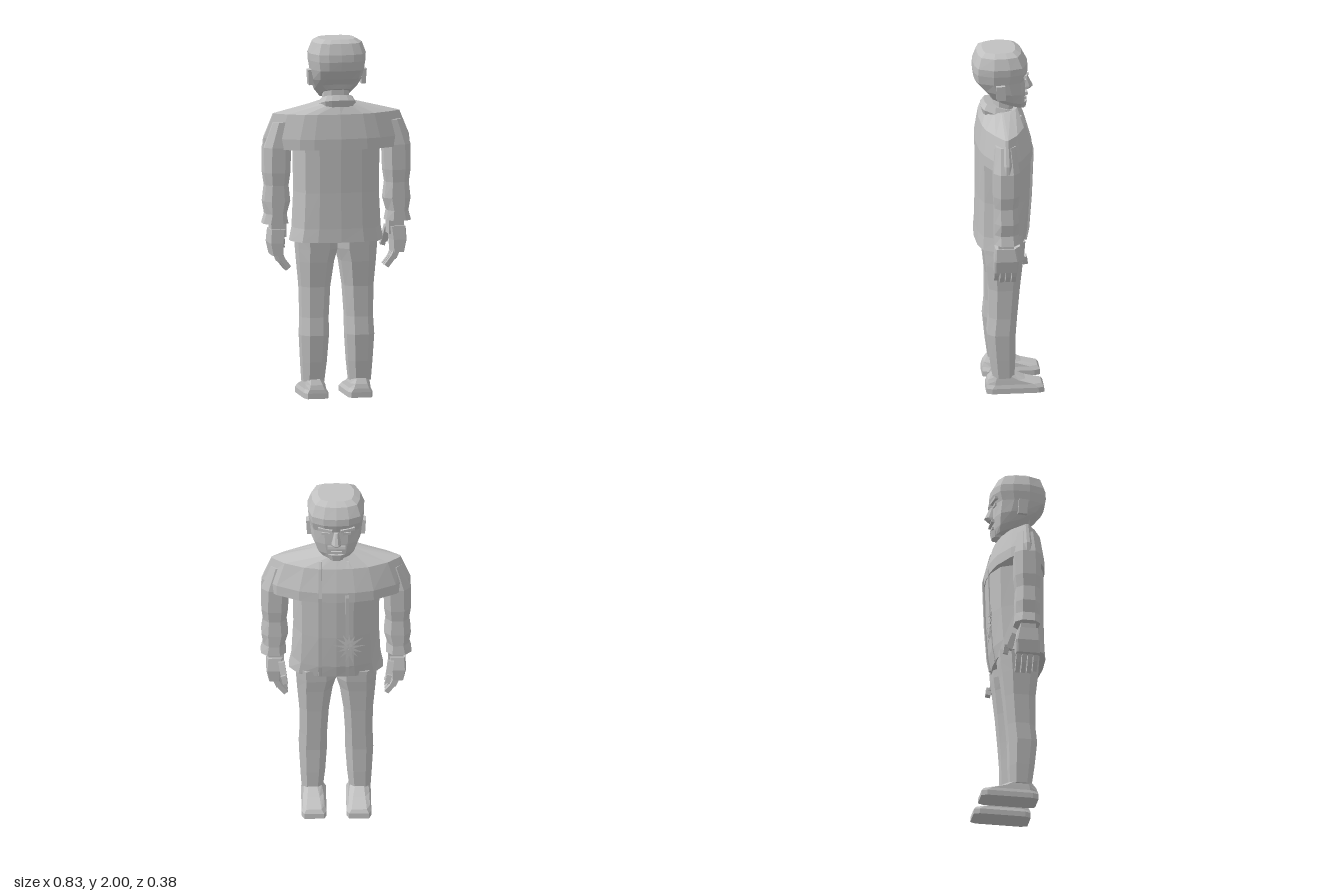
import * as THREE from 'three';

const grey = new THREE.MeshStandardMaterial({ color: 0xc0c0c0, flatShading: true });
grey.name = 'plain grey';

function add(parent, name, geometry, x = 0, y = 0, z = 0, rx = 0, ry = 0, rz = 0) {
  const mesh = new THREE.Mesh(geometry, grey);
  mesh.name = name;
  mesh.position.set(x, y, z);
  mesh.rotation.set(rx, ry, rz);
  parent.add(mesh);
  return mesh;
}
const box = (w, h, d) => new THREE.BoxGeometry(w, h, d);

// Skin a stack of rings, listed from bottom to top, and close both ends
function loft(rings) {
  const n = rings[0].length, pos = [], index = [];
  rings.forEach(r => r.forEach(p => pos.push(...p)));
  for (let i = 0; i < rings.length - 1; i++) {
    for (let j = 0; j < n; j++) {
      const a = i * n + j, b = i * n + (j + 1) % n;
      index.push(a, a + n, b, b, a + n, b + n);
    }
  }
  [0, rings.length - 1].forEach((k, top) => {
    const c = pos.length / 3;
    for (let d = 0; d < 3; d++) pos.push(rings[k].reduce((s, p) => s + p[d], 0) / n);
    for (let j = 0; j < n; j++) {
      const a = k * n + j, b = k * n + (j + 1) % n;
      if (top) index.push(c, b, a); else index.push(c, a, b);
    }
  });
  const g = new THREE.BufferGeometry();
  g.setAttribute('position', new THREE.Float32BufferAttribute(pos, 3));
  g.setIndex(index);
  const flat = g.toNonIndexed();
  flat.computeVertexNormals();
  return flat;
}

// Eight-sided limb section between x0..x1 and z0..z1, cut at the corners
function limb(y, x0, x1, z0, z1, cut = 0.5) {
  const cx = (x0 + x1) / 2, cz = (z0 + z1) / 2, w = (x1 - x0) / 2, d = (z1 - z0) / 2;
  return [[1, -cut], [1, cut], [cut, 1], [-cut, 1], [-1, cut], [-1, -cut], [-cut, -1], [cut, -1]]
    .map(([a, b]) => [cx + a * w, y, cz + b * d]);
}

// Symmetric section from a half profile of (width, depth) fractions, depth 1 to -1
function section(profile, y, w, zPlus, zMinus, mid, slope = 0) {
  const right = profile.map(([a, t]) => {
    const z = mid + t * (t > 0 ? zPlus - mid : mid - zMinus);
    return [a * w, y + slope * (z - mid), z];
  });
  const left = right.slice(1, -1).map(([x, yy, z]) => [-x, yy, z]);
  return [...right.reverse(), ...left];
}

const shoulderHalf = [[0, 1], [0.36, 0.93], [0.55, 0.8], [0.8, 0.45], [1, 0.06], [1, -0.06],
  [0.8, -0.5], [0.5, -0.85], [0.25, -0.97], [0, -1]];
const bodyHalf = [[0, 1], [0.5, 0.95], [0.82, 0.78], [1, 0.2], [1, -0.2], [0.8, -0.72], [0.4, -0.95], [0, -1]];
const headHalf = [[0, 1], [0.45, 0.97], [0.78, 0.85], [1, 0.3], [0.98, -0.3], [0.85, -0.75], [0.45, -0.95], [0, -1]];

function addJacket(g) {
  add(g, 'jacketBody', loft([
    [0.875, 0.26, 0.18, -0.1], [0.95, 0.245, 0.175, -0.115], [1.15, 0.235, 0.17, -0.13], [1.43, 0.24, 0.172, -0.138],
  ].map(([y, w, a, b]) => section(bodyHalf, y, w, a, b, 0.03))));
  add(g, 'jacketShoulders', loft([
    [1.39, 0.412, 0.175, -0.14], [1.45, 0.41, 0.175, -0.138],
    [1.585, 0.355, 0.155, -0.1], [1.645, 0.11, 0.125, -0.06],
  ].map(([y, w, a, b]) => section(shoulderHalf, y, w, a, b, 0.03))));
  // Tilted collar
  add(g, 'collar', loft([
    [1.595, 0.095], [1.63, 0.105], [1.665, 0.085],
  ].map(([y, w]) => section(headHalf, y, w, 0.04 + w, 0.04 - w, 0.04, 0.3))));
  // Open front edges follow the chest
  for (const [name, x, inset] of [['frontEdgeLeft', 0.09, 0], ['frontEdgeRight', -0.06, 0.003]]) {
    add(g, name, loft([[0.88, -0.1], [0.95, -0.114], [1.15, -0.129], [1.42, -0.139], [1.585, -0.097], [1.62, -0.072]]
      .map(([y, z]) => limb(y, x - 0.01, x + 0.01, z + inset - 0.004, z + 0.03, 0.9))));
  }
  // Ragged fan of torn cloth on the chest
  const fan = new THREE.Group();
  fan.name = 'tornCloth';
  fan.position.set(-0.07, 1.09, -0.131);
  for (let i = 0; i < 13; i++) {
    const a = i / 13 * Math.PI * 2, len = 0.075 + 0.03 * (i * 5 % 4) / 3;
    const shard = add(fan, 'clothShard', new THREE.ConeGeometry(0.017, len, 3),
      Math.sin(a) * len * 0.42, Math.cos(a) * len * 0.6, 0, 0, 0, -a);
    shard.scale.z = 0.5;
  }
  g.add(fan);
}

function addHead(g) {
  add(g, 'neck', loft([limb(1.58, -0.07, 0.07, -0.035, 0.08), limb(1.76, -0.07, 0.07, -0.035, 0.07)]));
  add(g, 'head', loft([
    [1.685, 0.085, 0.095, -0.095, 0.36], [1.715, 0.115, 0.105, -0.1, 0.3], [1.765, 0.138, 0.14, -0.105, 0.12],
    [1.83, 0.147, 0.182, -0.103, 0], [1.88, 0.155, 0.19, -0.118, 0], [1.92, 0.157, 0.187, -0.115, 0],
    [1.98, 0.135, 0.165, -0.083, 0], [2.0, 0.1, 0.135, -0.05, 0],
  ].map(([y, w, a, b, s]) => section(headHalf, y, w, a, b, (a + b) / 2, s))));
  add(g, 'nose', loft([[1.75, 0.026, -0.128], [1.765, 0.026, -0.146], [1.83, 0.012, -0.116]]
    .map(([y, w, z]) => limb(y, -w, w, z, -0.08, 0.4))));
  add(g, 'moustache', box(0.1, 0.018, 0.025), 0, 1.735, -0.103, 0.2);
  add(g, 'lowerLip', box(0.06, 0.014, 0.02), 0, 1.7, -0.1);
  add(g, 'chinBeard', loft([limb(1.645, -0.035, 0.035, -0.105, -0.06), limb(1.685, -0.05, 0.05, -0.112, -0.05)]));
  for (const s of [-1, 1]) {
    add(g, s > 0 ? 'leftBrow' : 'rightBrow', box(0.08, 0.016, 0.02), s * 0.062, 1.85, -0.103, 0, s * -0.2, s * 0.12);
    add(g, s > 0 ? 'leftEye' : 'rightEye', box(0.045, 0.014, 0.008), s * 0.058, 1.822, -0.1, 0, s * -0.15);
    add(g, s > 0 ? 'leftEar' : 'rightEar', box(0.025, 0.085, 0.05), s * 0.15, 1.785, 0.043, 0.06, 0, s * -0.06);
  }
}

function createArm(side) {
  const g = new THREE.Group();
  g.name = side + 'Arm';
  add(g, 'sleeve', loft([
    [0.975, 0.275, 0.415, -0.04, 0.1], [1.03, 0.285, 0.4, -0.035, 0.1], [1.1, 0.265, 0.412, -0.035, 0.1],
    [1.19, 0.275, 0.402, -0.03, 0.1], [1.26, 0.265, 0.412, -0.038, 0.105], [1.4, 0.26, 0.412, -0.04, 0.105],
    [1.54, 0.25, 0.36, -0.02, 0.09],
  ].map(a => limb(...a))));
  add(g, 'wrist', box(0.085, 0.1, 0.085), 0.33, 0.95, 0.035);
  add(g, 'palm', loft([limb(0.8, 0.31, 0.37, -0.03, 0.1, 0.85), limb(0.87, 0.305, 0.385, -0.035, 0.1, 0.85),
    limb(0.945, 0.295, 0.38, -0.02, 0.095, 0.85)]));
  // Curled fingers in two joints
  for (let i = 0; i < 4; i++) {
    const z = 0.083 - i * 0.032, drop = i === 0 ? 0.012 : 0;
    add(g, 'fingerBase', box(0.032, 0.06, 0.027), 0.325, 0.79 + drop, z, 0, 0, -0.4);
    add(g, 'fingerTip', box(0.027, 0.06, 0.024), 0.295, 0.743 + drop, z, 0, 0, -0.65);
  }
  add(g, 'thumb', box(0.035, 0.09, 0.035), 0.295, 0.89, -0.045, 0.35, 0, -0.15);
  add(g, 'thumbTip', box(0.028, 0.05, 0.028), 0.287, 0.845, -0.075, 0.15, 0, -0.25);
  return g;
}

function createLeg(side) {
  const g = new THREE.Group();
  g.name = side + 'Leg';
  add(g, 'trouserLeg', loft([
    [0.09, 0.072, 0.19, -0.03, 0.09], [0.2, 0.06, 0.197, -0.035, 0.105], [0.35, 0.05, 0.205, -0.037, 0.12],
    [0.45, 0.05, 0.2, -0.045, 0.11], [0.62, 0.04, 0.203, -0.06, 0.11], [0.76, 0.02, 0.215, -0.075, 0.125],
    [0.83, 0, 0.22, -0.085, 0.13], [0.9, 0, 0.225, -0.09, 0.135],
  ].map(a => limb(...a))));
  // Shoe: sections run from sole to ankle
  add(g, 'shoe', loft([
    limb(0, 0.055, 0.192, -0.195, 0.125, 0.8), limb(0.03, 0.055, 0.192, -0.193, 0.125, 0.8),
    limb(0.05, 0.065, 0.185, -0.18, 0.123, 0.7), limb(0.075, 0.07, 0.182, -0.09, 0.115, 0.6),
    limb(0.105, 0.08, 0.178, -0.03, 0.095, 0.5),
  ]));
  return g;
}

export function createModel() {
  const model = new THREE.Group();
  model.name = 'standingMan';
  addJacket(model);
  addHead(model);
  for (const side of ['left', 'right']) {
    for (const part of [createArm(side), createLeg(side)]) {
      if (side === 'right') part.scale.x = -1;
      model.add(part);
    }
  }
  return model;
}
